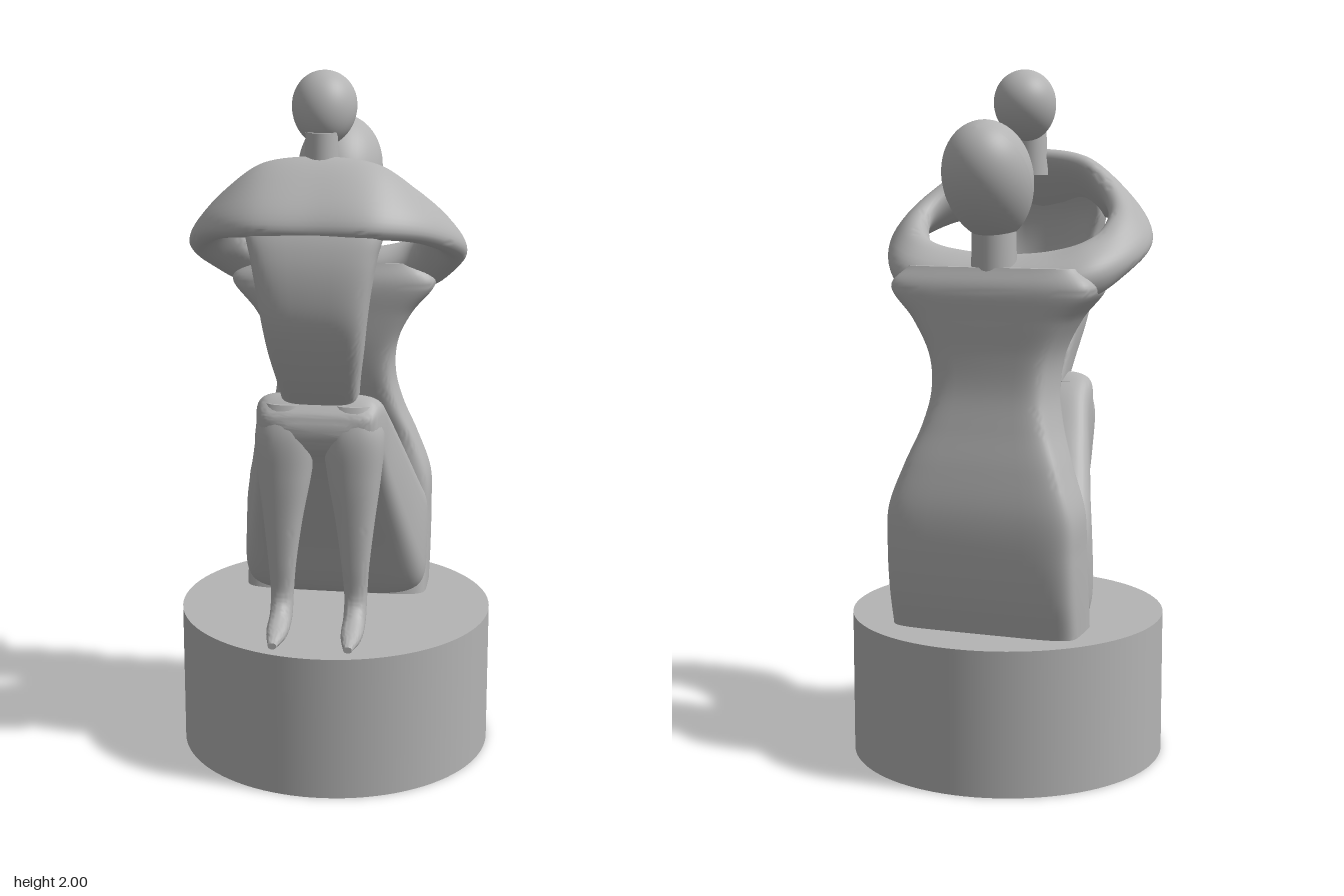
import * as THREE from 'three';
import { toCreasedNormals } from 'three/addons/utils/BufferGeometryUtils.js';

const V = (x, y, z) => new THREE.Vector3(x, y, z);
const CX = -0.017; // the figures sit slightly off the plinth's axis

// Skin through superelliptic sections {c: centre, u, v: half axes}; bow hollows the -v side
function loft(sections, { n = 2, bow = 0, closed = false, steps = 8, sides = 48 } = {}) {
  const curve = (k) => new THREE.CatmullRomCurve3(sections.map((s) => s[k]), closed, 'catmullrom', 0.5);
  const [C, U, W] = ['c', 'u', 'v'].map(curve);
  const count = (closed ? sections.length : sections.length - 1) * steps;
  const rings = closed ? count : count + 1;
  const pos = [], idx = [];
  const power = (a) => Math.sign(a) * Math.abs(a) ** (2 / n);
  for (let i = 0; i < rings; i++) {
    const c = C.getPoint(i / count), u = U.getPoint(i / count), v = W.getPoint(i / count);
    for (let j = 0; j < sides; j++) {
      const a = (j / sides) * Math.PI * 2;
      const p = power(Math.cos(a)), q = power(Math.sin(a));
      const hollow = bow * Math.max(0, -q) * (1 - p * p);
      const pt = c.clone().addScaledVector(u, p).addScaledVector(v, q + hollow);
      pos.push(pt.x, pt.y, pt.z);
    }
  }
  for (let i = 0; i < count; i++) {
    for (let j = 0; j < sides; j++) {
      const k = (j + 1) % sides, r = i * sides, s = ((i + 1) % rings) * sides;
      idx.push(r + j, r + k, s + j, r + k, s + k, s + j);
    }
  }
  if (!closed) {
    for (const [ring, flip] of [[0, true], [rings - 1, false]]) {
      const c = C.getPoint(ring / count), m = pos.length / 3;
      pos.push(c.x, c.y, c.z);
      for (let j = 0; j < sides; j++) {
        const a = ring * sides + j, b = ring * sides + ((j + 1) % sides);
        idx.push(m, flip ? b : a, flip ? a : b);
      }
    }
  }
  // turn the skin outward if its enclosed volume is negative
  let volume = 0;
  const at = (i) => V(pos[3 * i], pos[3 * i + 1], pos[3 * i + 2]);
  for (let i = 0; i < idx.length; i += 3) volume += at(idx[i]).dot(at(idx[i + 1]).cross(at(idx[i + 2])));
  if (volume < 0) idx.reverse();
  const g = new THREE.BufferGeometry();
  g.setAttribute('position', new THREE.Float32BufferAttribute(pos, 3));
  g.setIndex(idx);
  return toCreasedNormals(g, 0.75);
}

// Horizontal section: height, half width, front z, back z, sideways shift
const level = ([y, hw, zf, zb, x = 0]) => ({
  c: V(x, y, (zf + zb) / 2), u: V(hw, 0, 0), v: V(0, 0, (zf - zb) / 2),
});
// Slanted section: half width, lower edge (y, z), upper edge (y, z)
const slant = ([hw, y0, z0, y1, z1]) => ({
  c: V(0, (y0 + y1) / 2, (z0 + z1) / 2), u: V(hw, 0, 0), v: V(0, (y1 - y0) / 2, (z1 - z0) / 2),
});

// Ring of shoulders and arms: inner upper edge, outer lower edge, half thickness
function armRing() {
  const half = [
    [V(0, 1.77, 0.165), V(0, 1.58, 0.35), 0.04],
    [V(0.15, 1.75, 0.16), V(0.17, 1.58, 0.345), 0.04],
    [V(0.235, 1.68, 0.12), V(0.295, 1.56, 0.255), 0.04],
    [V(0.28, 1.61, 0.05), V(0.38, 1.505, 0.1), 0.04],
    [V(0.27, 1.55, -0.02), V(0.37, 1.45, -0.02), 0.045],
    [V(0.215, 1.49, -0.05), V(0.305, 1.4, -0.155), 0.06],
    [V(0.12, 1.455, -0.035), V(0.18, 1.37, -0.23), 0.065],
    [V(0, 1.44, -0.015), V(0, 1.37, -0.24), 0.065],
  ];
  const flip = ([a, b, t]) => [V(-a.x, a.y, a.z), V(-b.x, b.y, b.z), t];
  const all = [...half, ...half.slice(1, -1).reverse().map(flip)];
  const mid = all.map(([a, b]) => a.clone().add(b).multiplyScalar(0.5));
  const m = all.length;
  return loft(all.map(([a, b, t], i) => {
    const u = b.clone().sub(a).multiplyScalar(0.5);
    const along = mid[(i + 1) % m].clone().sub(mid[(i + m - 1) % m]);
    return { c: mid[i], u, v: along.cross(u).setLength(t) };
  }), { n: 2.4, closed: true, sides: 32 });
}

export function createModel() {
  const stone = new THREE.MeshStandardMaterial({ color: 0xb4b4b4 });
  stone.name = 'grey stone';
  const model = new THREE.Group();
  const figures = new THREE.Group();
  figures.name = 'embracingFigures';
  figures.position.x = CX;
  model.add(figures);
  const add = (name, geometry, parent = figures) => {
    const mesh = new THREE.Mesh(geometry, stone);
    mesh.name = name;
    parent.add(mesh);
    return mesh;
  };

  // Plinth
  add('plinth', new THREE.CylinderGeometry(0.461, 0.461, 0.42, 96), model).position.y = 0.21;

  // Kneeling figure: hips, waist and back
  add('backTorso', loft([
    [0.42, 0.278, -0.08, -0.3], [0.53, 0.28, -0.1, -0.325], [0.65, 0.28, -0.12, -0.336],
    [0.77, 0.276, -0.13, -0.332], [0.89, 0.236, -0.12, -0.308], [1.0, 0.193, -0.075, -0.278],
    [1.1, 0.172, -0.04, -0.255], [1.2, 0.182, -0.02, -0.248], [1.3, 0.232, -0.012, -0.25],
    [1.39, 0.3, -0.01, -0.25], [1.45, 0.25, -0.03, -0.225],
  ].map(level), { n: 6 }));

  // Lap block running from the hips up to the knees
  add('thighs', loft([
    [0.268, 0.42, -0.2, 0.76, -0.27], [0.277, 0.42, -0.08, 0.79, -0.15],
    [0.232, 0.62, 0.04, 0.95, 0.0], [0.195, 0.81, 0.15, 1.07, 0.115],
    [0.182, 0.91, 0.215, 1.115, 0.2], [0.155, 0.965, 0.26, 1.075, 0.26],
    [0.09, 1.0, 0.276, 1.04, 0.276],
  ].map(slant), { n: 5 }));

  // Shins and pointed feet
  for (const [name, s] of [['leftLeg', 1], ['rightLeg', -1]]) {
    add(name, loft([
      ...[
        [1.09, 0.065, 0.255, 0.14, s * 0.095], [1.0, 0.087, 0.282, 0.125, s * 0.097],
        [0.88, 0.076, 0.282, 0.14, s * 0.1], [0.75, 0.056, 0.274, 0.17, s * 0.104],
        [0.62, 0.04, 0.266, 0.195, s * 0.106], [0.53, 0.033, 0.262, 0.195, s * 0.107],
      ].map(level),
      { c: V(s * 0.107, 0.465, 0.255), u: V(0.032, 0, 0), v: V(0, 0.026, 0.03) },
      { c: V(s * 0.107, 0.44, 0.33), u: V(0.03, 0, 0), v: V(0, 0.024, 0.006) },
      { c: V(s * 0.107, 0.43, 0.408), u: V(0.012, 0, 0), v: V(0, 0.009, 0) },
    ], { n: 2.3, sides: 28 }));
  }

  // Seated figure: curved torso, hollow behind
  add('frontTorso', loft([
    [1.08, 0.105, 0.235, 0.11], [1.16, 0.115, 0.295, 0.14], [1.25, 0.13, 0.347, 0.185],
    [1.34, 0.142, 0.382, 0.212], [1.43, 0.155, 0.39, 0.225], [1.52, 0.172, 0.378, 0.23],
    [1.6, 0.19, 0.345, 0.22], [1.68, 0.17, 0.28, 0.19], [1.74, 0.12, 0.215, 0.165],
  ].map(level), { n: 4, bow: 0.9 }));

  // Shared shoulders and arms
  add('armRing', armRing());

  // Necks and egg-shaped heads
  const head = (name, y, z, rx, ry, rz, tilt) => {
    const g = new THREE.SphereGeometry(1, 48, 32);
    const p = g.attributes.position;
    for (let i = 0; i < p.count; i++) {
      const k = 1 + 0.08 * p.getY(i);
      p.setXYZ(i, p.getX(i) * k * rx, p.getY(i) * ry, p.getZ(i) * k * rz);
    }
    g.computeVertexNormals();
    const mesh = add(name, g);
    mesh.position.set(0, y, z);
    mesh.rotation.x = tilt;
  };
  head('frontHead', 1.9, 0.105, 0.09, 0.105, 0.094, -0.5);
  head('backHead', 1.687, -0.207, 0.125, 0.18, 0.134, -0.6);
  add('frontNeck', new THREE.CylinderGeometry(0.044, 0.05, 0.14, 32)).position.set(0, 1.77, 0.16);
  add('backNeck', new THREE.CylinderGeometry(0.062, 0.066, 0.2, 32)).position.set(0, 1.48, -0.165);

  return model;
}
